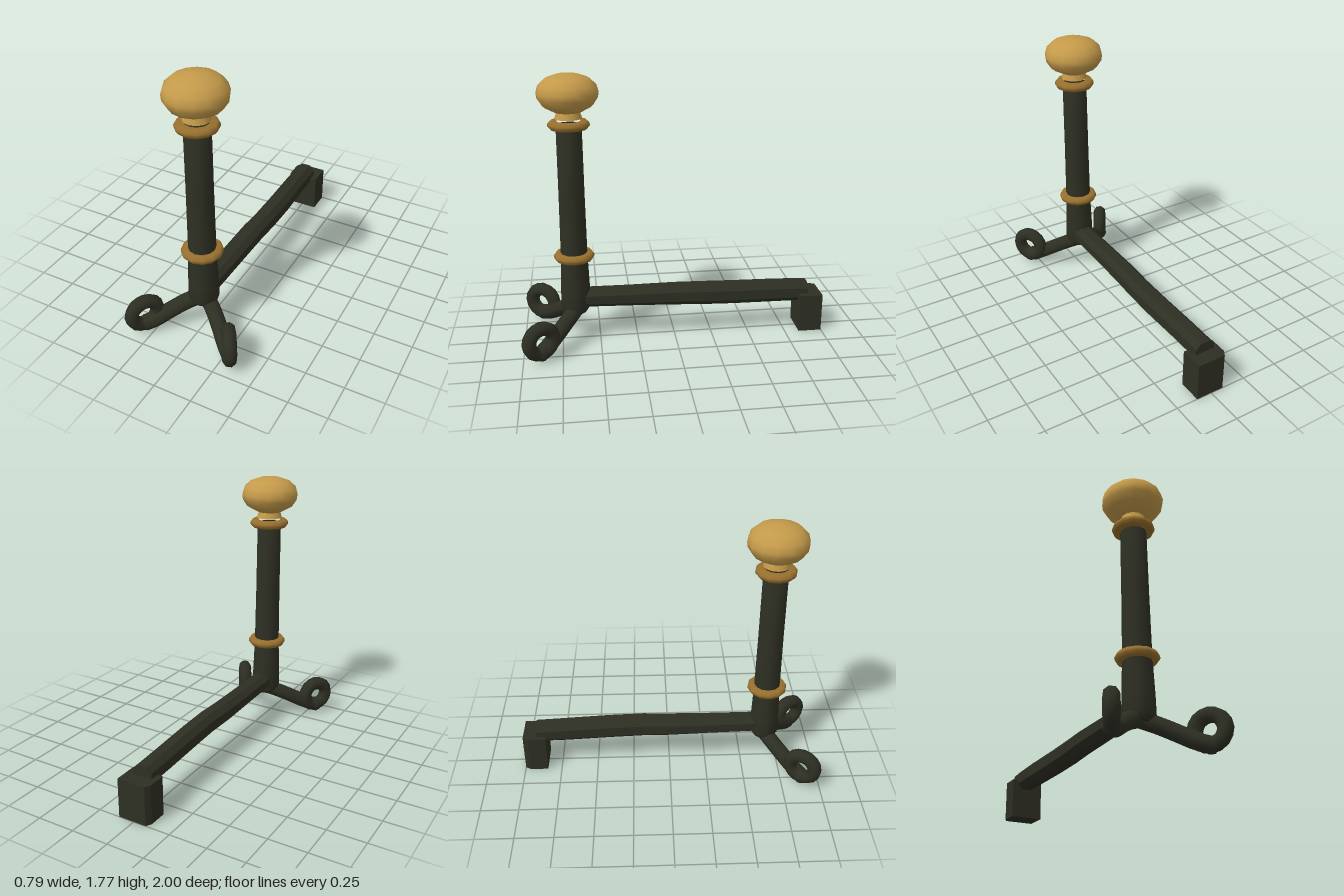
import * as THREE from 'three';

const iron = new THREE.MeshStandardMaterial({ color: 0x2e2f23 });
iron.name = 'black iron';
const brass = new THREE.MeshStandardMaterial({ color: 0xc49a4a });
brass.name = 'brass';
const bronze = new THREE.MeshStandardMaterial({ color: 0x98702e });
bronze.name = 'dark brass';

const POST_Z = 0.655;
const v2 = (x, y) => new THREE.Vector2(x, y);
const v3 = (x, y, z) => new THREE.Vector3(x, y, z);

function add(group, name, geometry, material) {
  const mesh = new THREE.Mesh(geometry, material);
  mesh.name = name;
  group.add(mesh);
  return mesh;
}

// Horizontal log bar: a chamfered section whose size and offset drift along its length
function barGeometry() {
  const c = 0.26;
  const shape = new THREE.Shape([
    v2(-0.5 + c, 0), v2(0.5 - c, 0), v2(0.5, c), v2(0.5, 1 - c),
    v2(0.5 - c, 1), v2(-0.5 + c, 1), v2(-0.5, 1 - c), v2(-0.5, c),
  ]);
  const geo = new THREE.ExtrudeGeometry(shape, { depth: 1, steps: 6, bevelEnabled: false });
  // Stations from back to front: z, centre x, width, bottom y, top y
  const stations = [
    [-0.91, -0.005, 0.135, 0.195, 0.328],
    [-0.7, -0.002, 0.135, 0.198, 0.338],
    [-0.4, 0.008, 0.138, 0.206, 0.347],
    [-0.18, 0.01, 0.136, 0.213, 0.354],
    [0.0, 0.002, 0.138, 0.219, 0.354],
    [0.3, 0.002, 0.136, 0.23, 0.352],
    [0.64, 0.002, 0.134, 0.24, 0.355],
  ];
  const p = geo.attributes.position;
  for (let i = 0; i < p.count; i++) {
    const [z, cx, w, y0, y1] = stations[Math.round(p.getZ(i) * 6)];
    p.setXYZ(i, cx + p.getX(i) * w, y0 + p.getY(i) * (y1 - y0), z);
  }
  geo.computeVertexNormals();
  return geo;
}

// Rear foot block with one clipped corner
function rearFootGeometry() {
  const shape = new THREE.Shape([
    v2(-0.105, 0.845), v2(0.105, 0.845), v2(0.105, 1), v2(-0.085, 1), v2(-0.105, 0.965),
  ]);
  const geo = new THREE.ExtrudeGeometry(shape, { depth: 0.258, bevelEnabled: false });
  return geo.rotateX(-Math.PI / 2);
}

// Front leg: runs out and down from the post
function legPath(side) {
  return new THREE.CatmullRomCurve3([
    v3(0, 0.235, 0.64), v3(0.1, 0.185, 0.71), v3(0.19, 0.125, 0.785), v3(0.25, 0.082, 0.84), v3(0.302, 0.06, 0.882),
  ].map((p) => v3(p.x * side, p.y, p.z)));
}

// Closed curl at the end of a leg
function curlPath(side) {
  const points = [];
  for (let i = 0; i < 8; i++) {
    const a = (i / 8) * Math.PI * 2;
    points.push(v3(side * (0.302 + 0.047 * Math.cos(a)), 0.144 + 0.086 * Math.sin(a), 0.882 + 0.075 * Math.cos(a)));
  }
  return new THREE.CatmullRomCurve3(points, true);
}

export function createModel() {
  const model = new THREE.Group();
  model.name = 'andiron';

  // Upright post, slightly flared at the base
  const post = add(model, 'post', new THREE.LatheGeometry([
    v2(0, 0.2), v2(0.07, 0.2), v2(0.097, 0.24), v2(0.095, 0.36), v2(0.086, 0.6), v2(0.082, 1), v2(0.08, 1.46), v2(0, 1.46),
  ], 12), iron);
  post.position.z = POST_Z;

  // Collars around the post
  for (const [name, y] of [['lowerCollar', 0.594], ['upperCollar', 1.459]]) {
    const collar = add(model, name, new THREE.LatheGeometry([
      v2(0.075, -0.025), v2(0.116, -0.025), v2(0.13, -0.008), v2(0.13, 0.008), v2(0.116, 0.025), v2(0.075, 0.025),
    ], 12), bronze);
    collar.position.set(0, y, POST_Z);
  }

  // Finial: neck and flattened ball
  const neck = add(model, 'finialNeck', new THREE.CylinderGeometry(0.07, 0.085, 0.05, 12), brass);
  neck.position.set(0, 1.523, POST_Z);
  const knob = add(model, 'finialKnob', new THREE.LatheGeometry([
    v2(0, 1.535), v2(0.085, 1.54), v2(0.155, 1.578), v2(0.186, 1.625), v2(0.191, 1.66),
    v2(0.178, 1.705), v2(0.135, 1.745), v2(0.07, 1.768), v2(0, 1.774),
  ], 14), brass);
  knob.position.z = POST_Z;

  // Log bar and rear foot
  add(model, 'logBar', barGeometry(), iron);
  add(model, 'rearFoot', rearFootGeometry(), iron);

  // Mirrored front legs
  for (const [name, side] of [['leftLeg', 1], ['rightLeg', -1]]) {
    const leg = new THREE.Group();
    leg.name = name;
    add(leg, 'legBar', new THREE.TubeGeometry(legPath(side), 8, 0.052, 8), iron);
    add(leg, 'legCurl', new THREE.TubeGeometry(curlPath(side), 16, 0.046, 8, true), iron);
    // Rounded joint hiding the open end of the leg tube
    const joint = add(leg, 'legJoint', new THREE.SphereGeometry(0.052, 8, 6), iron);
    joint.position.set(side * 0.302, 0.06, 0.882);
    model.add(leg);
  }
  return model;
}
